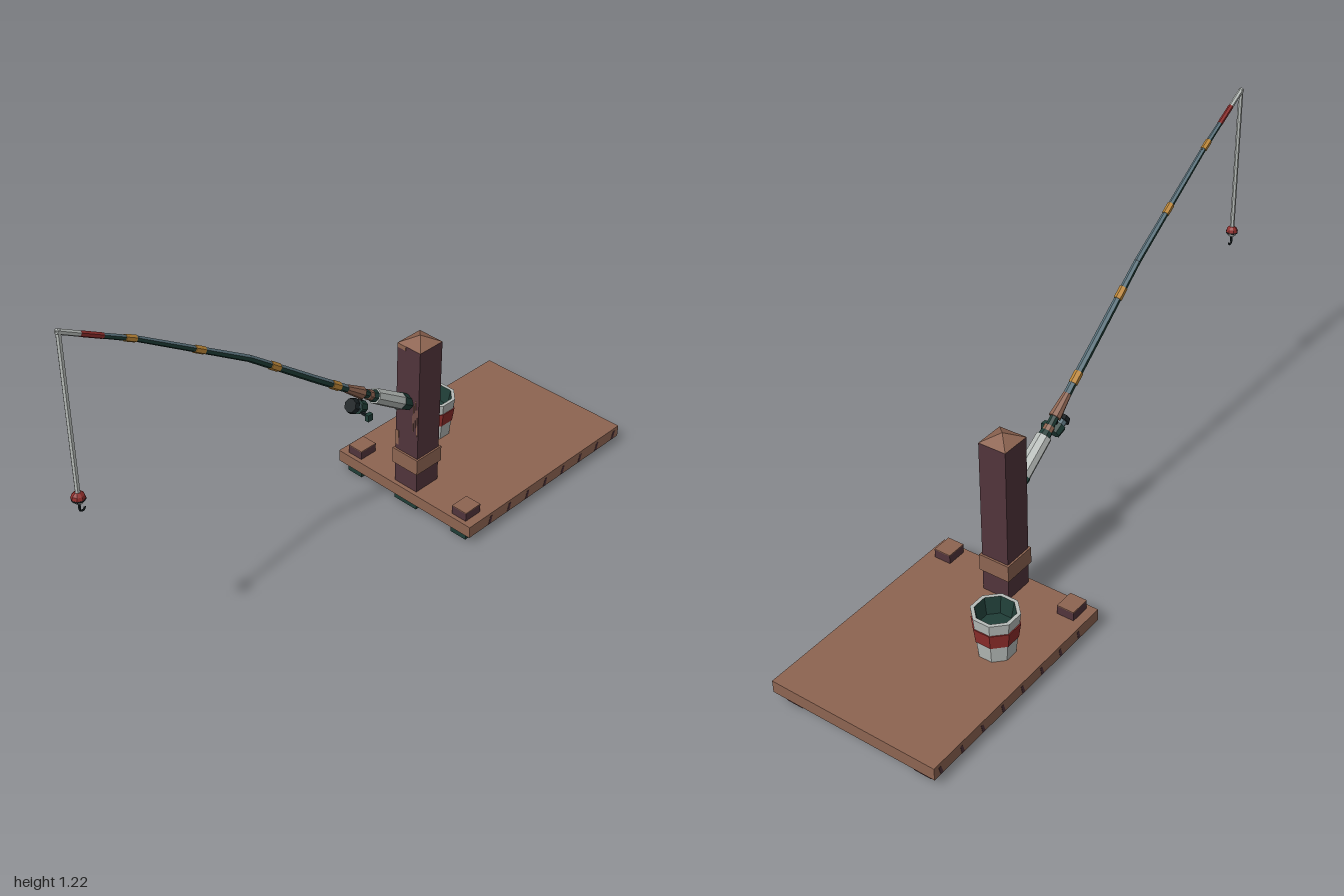
import * as THREE from 'three';

const mat = (name, color) => {
  const m = new THREE.MeshStandardMaterial({ color, flatShading: true });
  m.name = name;
  return m;
};

export function createModel() {
  const wood = mat('warm wood', 0x8d6451);
  const darkWood = mat('dark plum wood', 0x51343b);
  const green = mat('dark green', 0x1f3d37);
  const white = mat('pale grey', 0xb6bbb8);
  const red = mat('red', 0x8e2d2b);
  const orange = mat('amber', 0xbd8737);
  const slate = mat('slate blue', 0x5a727c);
  const black = mat('near black', 0x161d20);

  const root = new THREE.Group();
  root.name = 'fishingDock';
  const add = (name, geo, material, x = 0, y = 0, z = 0, parent = root) => {
    const m = new THREE.Mesh(geo, material);
    m.name = name;
    m.position.set(x, y, z);
    parent.add(m);
    return m;
  };
  // box from its extents
  const box = (name, m, x0, x1, y0, y1, z0, z1) =>
    add(name, new THREE.BoxGeometry(x1 - x0, y1 - y0, z1 - z0), m, (x0 + x1) / 2, (y0 + y1) / 2, (z0 + z1) / 2);

  // deck with plank seams on its sides and stripes below
  box('deck', wood, -0.287, 0.287, 0.032, 0.073, -1, -0.235);
  for (let i = 0; i < 8; i++) {
    const z = -0.335 - i * 0.091;
    const seam = new THREE.Shape([[-0.009, 0.034], [0.003, 0.034], [0.009, 0.062], [0, 0.062]].map(p => new THREE.Vector2(...p)));
    for (const s of [-1, 1]) {
      const geo = new THREE.ExtrudeGeometry(seam, { depth: 0.002, bevelEnabled: false });
      add('plankSeam', geo, darkWood, s * 0.287 - 0.001, 0, z).rotation.y = Math.PI / 2;
    }
  }
  for (let i = 0; i < 4; i++) {
    const z = -0.27 - i * 0.185;
    box('undersidePlank', darkWood, -0.272, 0.272, 0.029, 0.033, z - 0.11, z);
  }

  // rails, feet and corner cleats, mirrored
  for (const s of [-1, 1]) {
    const x0 = s * 0.228 - 0.029, x1 = s * 0.228 + 0.029;
    box('rail', darkWood, x0, x1, 0.001, 0.032, -0.98, -0.318);
    box('foot', green, x0 - 0.002, x1 + 0.002, 0, 0.032, -0.32, -0.25);
    box('cleat', darkWood, x0, x1, 0.073, 0.101, -0.318, -0.25);
    box('cleatTop', wood, x0, x1, 0.101, 0.104, -0.318, -0.25);
  }
  box('postFoot', green, -0.047, 0.047, 0.002, 0.032, -0.35, -0.25);
  box('postEnd', darkWood, -0.032, 0.032, 0, 0.002, -0.335, -0.265);

  // post with band and pyramid cap
  box('post', darkWood, -0.047, 0.047, 0.073, 0.6, -0.35, -0.25);
  box('postBand', wood, -0.053, 0.053, 0.147, 0.203, -0.357, -0.243);
  const cap = new THREE.ConeGeometry(0.047 * Math.SQRT2, 0.025, 4);
  cap.rotateY(Math.PI / 4);
  add('postCap', cap, wood, 0, 0.6125, -0.3).scale.z = 1.06;
  // worn patches on the post
  box('wornPatch', wood, -0.047, -0.034, 0.22, 0.275, -0.251, -0.249);
  box('wornPatch', wood, -0.047, -0.012, 0.585, 0.6, -0.251, -0.249);
  for (const [x, y] of [[0.024, 0.3], [0.032, 0.32], [0.04, 0.29]])
    box('wornStreak', wood, x, x + 0.003, y, y + 0.1, -0.251, -0.249);

  // octagonal bucket
  const bucket = new THREE.Group();
  bucket.name = 'bucket';
  bucket.position.set(-0.145, 0.073, -0.54);
  root.add(bucket);
  const k = 1 / Math.cos(Math.PI / 8);
  const lathe = (name, pts, m) =>
    add(name, new THREE.LatheGeometry(pts.map(([r, y]) => new THREE.Vector2(r * k, y)), 8, Math.PI / 8), m, 0, 0, 0, bucket);
  lathe('bucketWall', [[0, 0], [0.053, 0], [0.068, 0.144], [0.057, 0.144]], white);
  lathe('bucketInside', [[0.057, 0.144], [0.047, 0.09], [0, 0.09]], green);
  lathe('bucketBand', [[0.057, 0.058], [0.0615, 0.058], [0.0675, 0.107], [0.062, 0.107]], red);

  // tapered bar between two [z, y] points in the middle plane
  const bar = (name, m, a, b, r0, r1, sides = 6, start = 0, length = Math.PI * 2) => {
    const dz = b[0] - a[0], dy = b[1] - a[1];
    const n = Math.max(1, Math.round(sides * length / (Math.PI * 2)));
    const open = n < sides;
    const geo = new THREE.CylinderGeometry(r1, r0, Math.hypot(dz, dy), n, 1, open, start, length);
    const mesh = add(name, geo, m, 0, (a[1] + b[1]) / 2, (a[0] + b[0]) / 2);
    mesh.rotation.x = Math.atan2(dz, dy);
    return mesh;
  };

  // rod centre line, height as a function of z
  const line = [[-0.25, 0.4], [-0.075, 0.515], [0.07, 0.62], [0.39, 0.862], [0.754, 1.09], [0.985, 1.215]];
  const at = z => {
    let i = 0;
    while (i < line.length - 2 && z > line[i + 1][0]) i++;
    const [a, b] = [line[i], line[i + 1]];
    return [z, a[1] + (b[1] - a[1]) * (z - a[0]) / (b[0] - a[0])];
  };
  const rodPart = (name, m, z0, z1, r0, r1, sides) => bar(name, m, at(z0), at(z1), r0, r1, sides);

  // butt, grip and reel seat
  rodPart('buttCap', green, -0.25, -0.212, 0.025, 0.029, 8);
  rodPart('grip', white, -0.214, -0.1, 0.027, 0.025, 8);
  rodPart('gripCollar', green, -0.104, -0.085, 0.021, 0.018, 8);
  rodPart('seatRing', wood, -0.085, -0.07, 0.017, 0.017, 8);
  rodPart('reelSeat', green, -0.07, -0.045, 0.014, 0.014, 8);
  rodPart('foreGrip', wood, -0.045, 0.02, 0.02, 0.013, 8);

  // two-tone blank: slate above, green below and at the sides
  const radius = z => 0.0125 - 0.0055 * z;
  const stops = [0.02, 0.15, 0.39, 0.754, 0.86];
  for (let i = 0; i < stops.length - 1; i++) {
    const [z0, z1] = [stops[i], stops[i + 1]];
    const third = Math.PI * 2 / 3;
    bar('rodTop', slate, at(z0), at(z1), radius(z0), radius(z1), 6, third, third);
    bar('rodUnderside', green, at(z0), at(z1), radius(z0), radius(z1), 6, 2 * third, 2 * third);
  }
  for (const z of [0.065, 0.3, 0.56, 0.775])
    rodPart('rodBand', orange, z - 0.016, z + 0.016, radius(z) + 0.002, radius(z) + 0.002, 6);
  rodPart('rodRedBand', red, 0.855, 0.92, 0.0085, 0.0085, 6);
  rodPart('rodTip', white, 0.92, 0.985, 0.008, 0.008, 6);

  // reel hung below the rod, with a crank on the left
  bar('reelStem', black, [-0.045, 0.53], [-0.032, 0.495], 0.007, 0.007);
  bar('reelBody', green, [-0.052, 0.482], [-0.025, 0.497], 0.02, 0.024, 8);
  bar('reelSpool', slate, [-0.025, 0.497], [-0.01, 0.506], 0.018, 0.018, 8);
  bar('reelRim', black, [-0.01, 0.506], [0.003, 0.514], 0.026, 0.022, 8);
  box('crankShaft', black, 0.015, 0.045, 0.476, 0.484, -0.034, -0.026);
  box('crankKnob', green, 0.04, 0.054, 0.468, 0.491, -0.039, -0.019);

  // line, bobber and hook
  bar('fishingLine', white, [0.98, 0.73], [0.98, 1.217], 0.0075, 0.0075, 6);
  const half = Math.PI / 2;
  add('bobberTop', new THREE.SphereGeometry(0.02, 8, 3, 0, Math.PI * 2, 0, half), red, 0, 0.716, 0.98);
  add('bobberBottom', new THREE.SphereGeometry(0.019, 8, 3, 0, Math.PI * 2, half, half), white, 0, 0.716, 0.98);
  add('bobberRing', new THREE.CylinderGeometry(0.0205, 0.0205, 0.004, 8), black, 0, 0.714, 0.98);
  bar('hookShank', black, [0.98, 0.678], [0.98, 0.7], 0.004, 0.004);
  add('hook', new THREE.TorusGeometry(0.008, 0.003, 5, 8, Math.PI * 1.1), black, 0, 0.678, 0.972).rotation.set(Math.PI, half, 0);
  return root;
}
